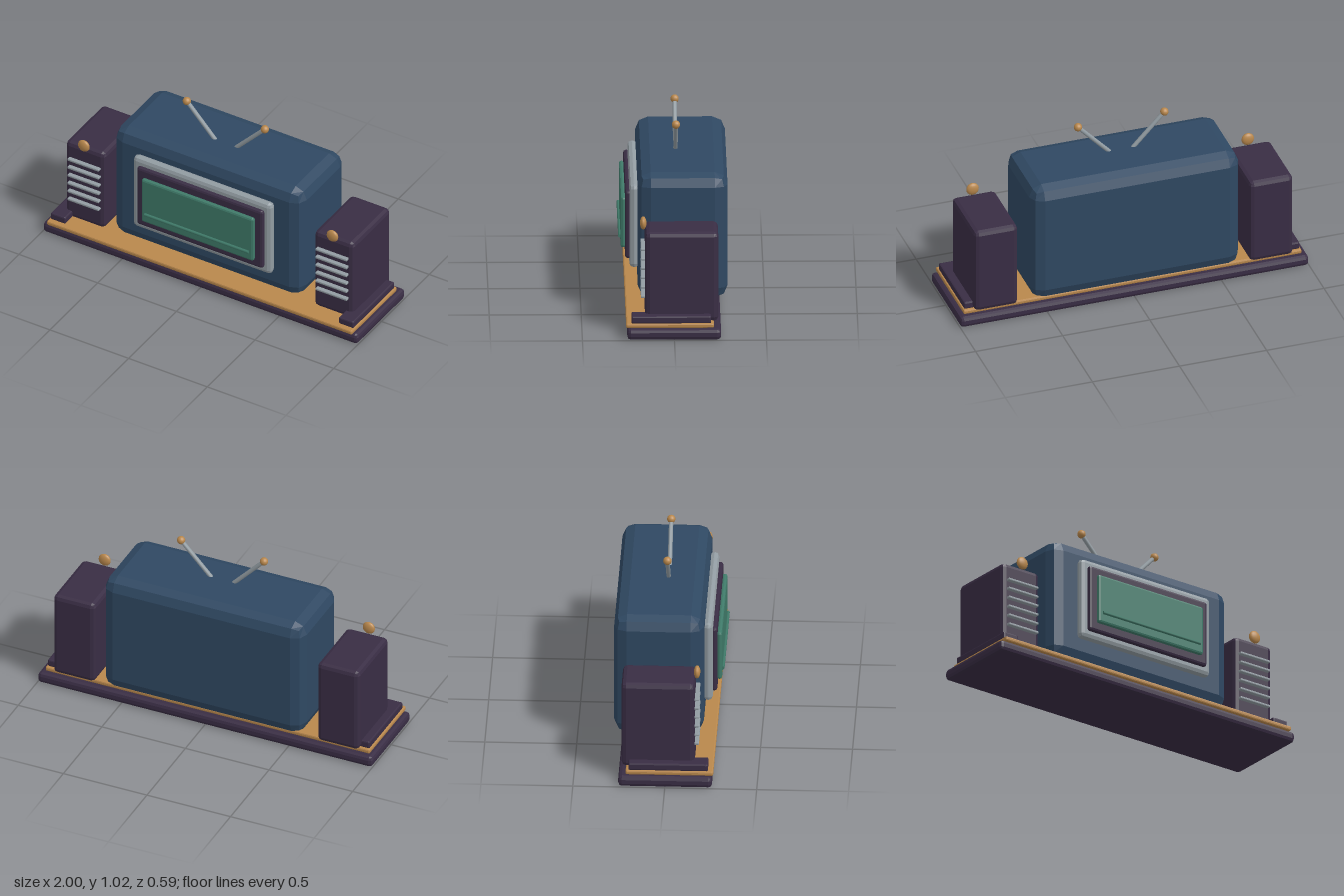
import * as THREE from 'three';
import { RoundedBoxGeometry } from 'three/addons/geometries/RoundedBoxGeometry.js';

function material(name, color) {
  const m = new THREE.MeshStandardMaterial({ color });
  m.name = name;
  return m;
}

export function createModel() {
  const model = new THREE.Group();
  model.name = 'televisionSet';
  const blue = material('navyBlue', 0x2f4862);
  const plum = material('darkPlum', 0x392d44);
  const gold = material('warmGold', 0xb8874c);
  const silver = material('silverGrey', 0x929ca2);
  const green = material('screenGreen', 0x3f7a69);

  function add(name, geometry, mat) {
    const mesh = new THREE.Mesh(geometry, mat);
    mesh.name = name;
    model.add(mesh);
    return mesh;
  }

  // Faceted soft-edged box given by its extents on each axis
  function box(name, mat, [x0, x1], [y0, y1], [z0, z1], radius) {
    const g = new RoundedBoxGeometry(x1 - x0, y1 - y0, z1 - z0, 1, radius);
    g.computeVertexNormals();
    const mesh = add(name, g, mat);
    mesh.position.set((x0 + x1) / 2, (y0 + y1) / 2, (z0 + z1) / 2);
    return mesh;
  }

  function ball(name, r, x, y, z, depth = 1) {
    const mesh = add(name, new THREE.SphereGeometry(r, 14, 10), gold);
    mesh.position.set(x, y, z);
    mesh.scale.z = depth;
  }

  // Plinth and shelf
  box('base', plum, [-1, 1], [0, 0.062], [-0.254, 0.256], 0.02);
  box('shelf', gold, [-0.97, 0.97], [0.06, 0.086], [-0.215, 0.262], 0.008);

  // Cabinet with stepped screen surround
  box('cabinet', blue, [-0.6, 0.6], [0.105, 0.815], [-0.295, 0.193], 0.07);
  box('outerBezel', silver, [-0.44, 0.44], [0.243, 0.714], [0.185, 0.237], 0.024);
  box('innerBezel', plum, [-0.4, 0.4], [0.286, 0.67], [0.225, 0.26], 0.014);
  box('screen', green, [-0.356, 0.356], [0.335, 0.62], [0.255, 0.284], 0.012);
  const line = add('screenLine', new THREE.CylinderGeometry(0.009, 0.009, 0.66, 8), green);
  line.rotation.z = Math.PI / 2;
  line.position.set(0, 0.394, 0.288);

  for (const s of [-1, 1]) {
    const side = s > 0 ? 'left' : 'right';
    const span = (a, b) => (s > 0 ? [a, b] : [-b, -a]);

    // Speaker, its foot rail, grille bars and knob
    box(side + 'Speaker', plum, span(0.665, 0.915), [0.08, 0.584], [-0.24, 0.158], 0.025);
    box(side + 'FootRail', plum, span(0.868, 0.963), [0.084, 0.126], [-0.2, 0.233], 0.008);
    for (let i = 0; i < 6; i++) {
      const y = 0.214 + i * 0.0535;
      box(side + 'GrilleBar', silver, span(0.688, 0.888), [y - 0.007, y + 0.007], [0.15, 0.181], 0.004);
    }
    ball(side + 'Knob', 0.036, s * 0.79, 0.605, 0.167, 0.5);

    // Antenna rod and tip
    const from = new THREE.Vector3(s * 0.045, 0.785, -0.018);
    const to = new THREE.Vector3(s * 0.248, 1, -0.018);
    const dir = to.clone().sub(from);
    const rod = add(side + 'Antenna', new THREE.CylinderGeometry(0.012, 0.012, dir.length(), 8), silver);
    rod.position.copy(from).add(to).multiplyScalar(0.5);
    rod.quaternion.setFromUnitVectors(new THREE.Vector3(0, 1, 0), dir.normalize());
    ball(side + 'AntennaTip', 0.023, to.x, to.y, to.z);
  }
  return model;
}
